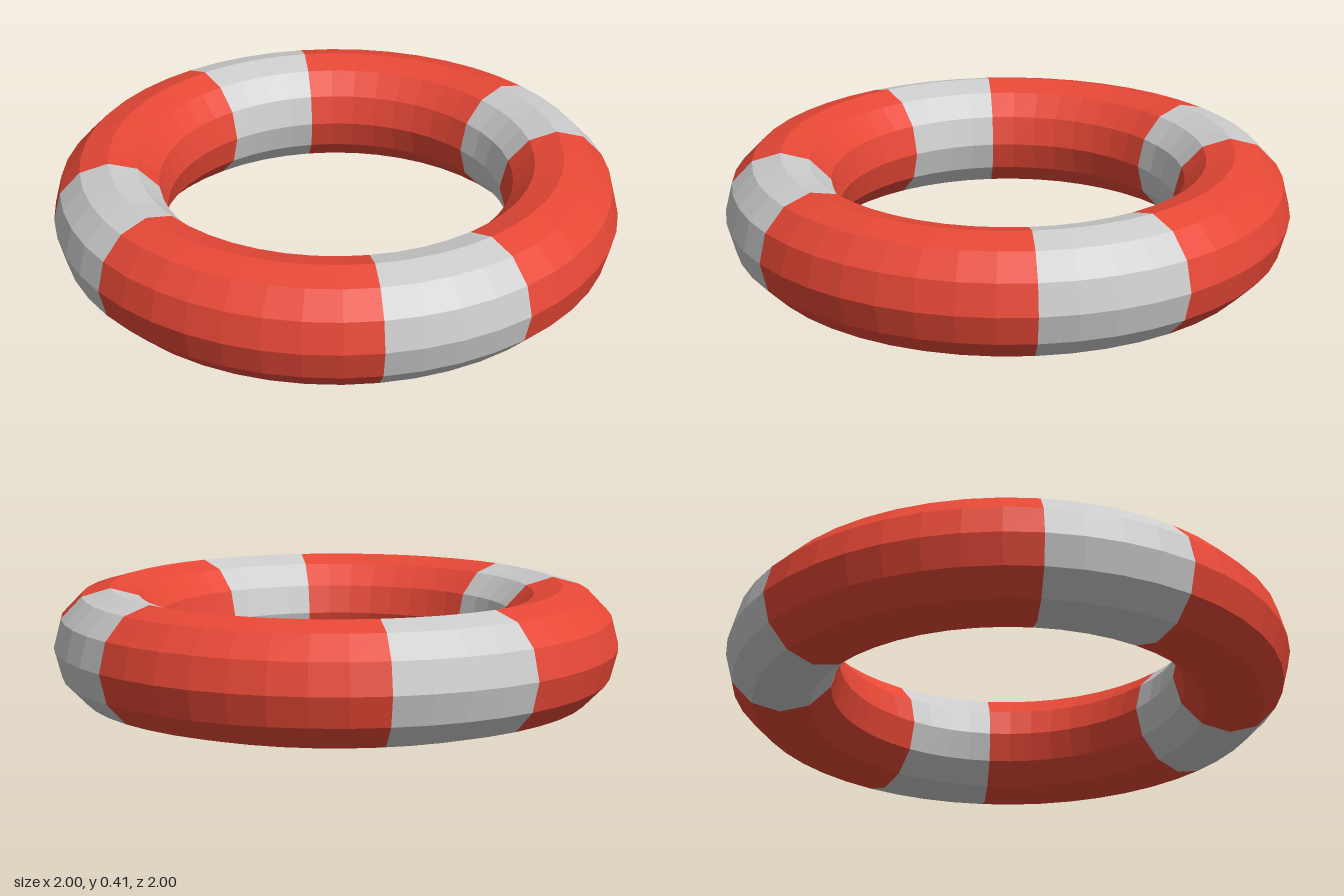
import * as THREE from 'three';

const RING = 0.8, TUBE = 0.2, HALF_HEIGHT = 0.207;

// A section of the ring, centred on the given angle around y
function ringSection(name, centre, degrees, segments, material) {
  const arc = THREE.MathUtils.degToRad(degrees);
  const geometry = new THREE.TorusGeometry(RING, TUBE, 12, segments, arc);
  geometry.rotateZ(-arc / 2);
  geometry.rotateX(-Math.PI / 2);
  geometry.scale(1, HALF_HEIGHT / TUBE, 1);
  geometry.rotateY(centre);
  geometry.translate(0, HALF_HEIGHT, 0);
  const mesh = new THREE.Mesh(geometry, material);
  mesh.name = name;
  return mesh;
}

export function createModel() {
  const model = new THREE.Group();
  model.name = 'lifebuoy';
  const red = new THREE.MeshStandardMaterial({ color: 0xe74836, flatShading: true });
  const grey = new THREE.MeshStandardMaterial({ color: 0xcccccc, flatShading: true });

  // Four pale bands alternate with four longer red sections
  for (let i = 0; i < 4; i++) {
    const angle = i * Math.PI / 2;
    model.add(ringSection(`band${i + 1}`, angle, 30, 4, grey));
    model.add(ringSection(`redSection${i + 1}`, angle + Math.PI / 4, 60, 8, red));
  }
  return model;
}
